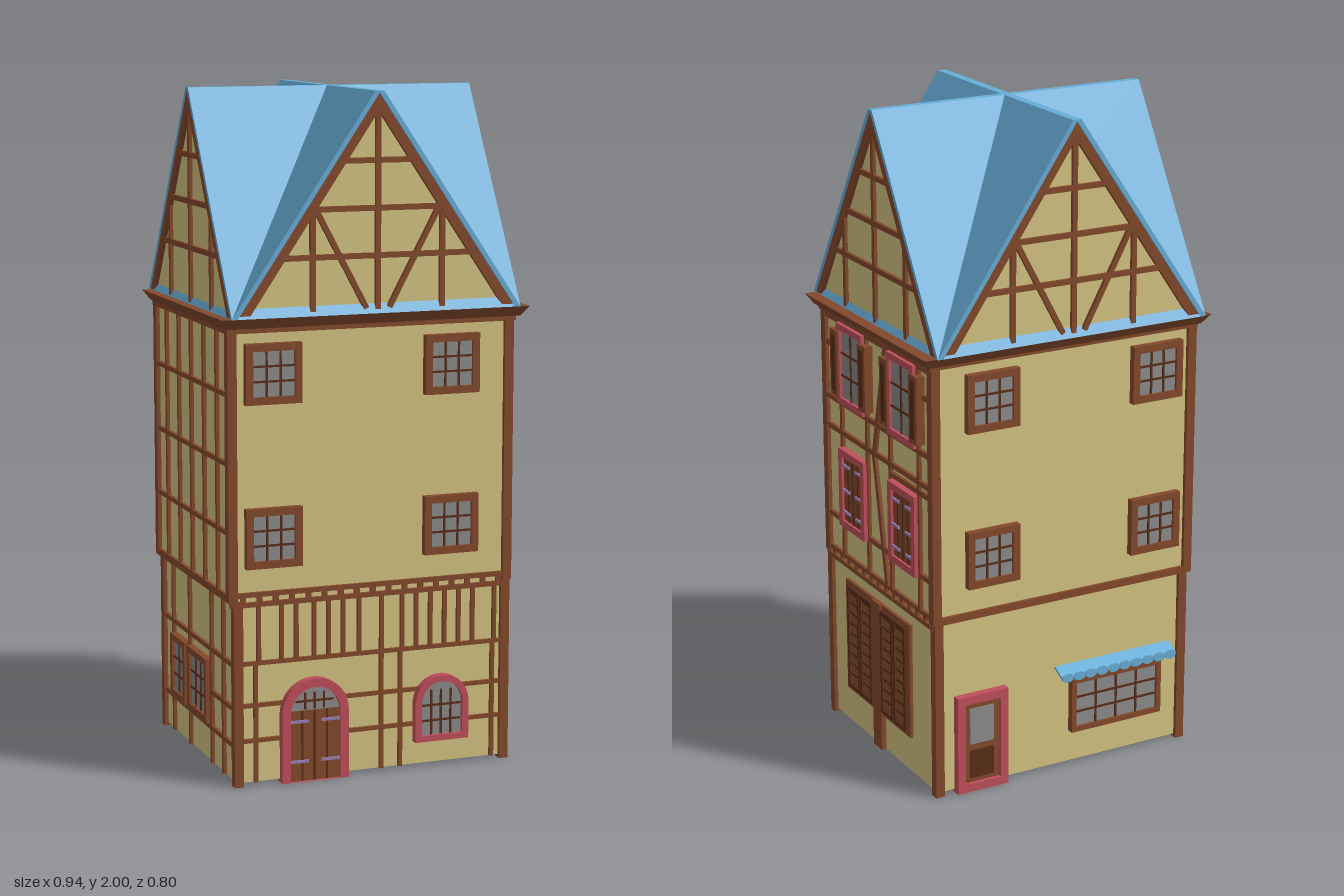
import * as THREE from 'three';

const mat = (color) => new THREE.MeshStandardMaterial({ color, flatShading: true, side: THREE.DoubleSide });
const M = {
  wall: mat(0xd4c482), wood: mat(0x84492b), dark: mat(0x5a2d18), pink: mat(0xc04f5c),
  metal: mat(0x9a7fb4), glass: mat(0x8c8c8c), roof: mat(0x68aed8),
};
const T = 0.016, EAVE = 1.37, PEAK = 2.02, RIDGE = 2.0;

function add(parent, name, geo, material) {
  const m = new THREE.Mesh(geo, material);
  m.name = name;
  parent.add(m);
  return m;
}

// Wall-local rectangle: u across, v up, w outward
function rect(f, name, m, u0, v0, u1, v1, w = 0.01, back = -0.004) {
  const mesh = add(f, name, new THREE.BoxGeometry(u1 - u0, v1 - v0, w - back), m);
  mesh.position.set((u0 + u1) / 2, (v0 + v1) / 2, (w + back) / 2);
  return mesh;
}

// Straight timber between two points of a wall
function bar(f, u0, v0, u1, v1, t = T, name = 'timber') {
  const mesh = add(f, name, new THREE.BoxGeometry(Math.hypot(u1 - u0, v1 - v0), t, 0.014), M.wood);
  mesh.position.set((u0 + u1) / 2, (v0 + v1) / 2, 0.003);
  mesh.rotation.z = Math.atan2(v1 - v0, u1 - u0);
  return mesh;
}
const posts = (f, us, v0, v1, t) => us.forEach((u) => bar(f, u, v0, u, v1, t, 'post'));
const rails = (f, vs, u0, u1, t) => vs.forEach((v) => bar(f, u0, v, u1, v, t, 'rail'));

function extrude(shape, depth, z0 = 0) {
  return new THREE.ExtrudeGeometry(shape, { depth, bevelEnabled: false, curveSegments: 12 }).translate(0, 0, z0);
}

function frame(f, name, m, u0, v0, u1, v1, t, w = 0.022) {
  rect(f, name, m, u0, v0, u0 + t, v1, w, -0.015);
  rect(f, name, m, u1 - t, v0, u1, v1, w, -0.015);
  rect(f, name, m, u0, v0, u1, v0 + t, w, -0.015);
  rect(f, name, m, u0, v1 - t, u1, v1, w, -0.015);
}

function mullions(f, u0, v0, u1, v1, cols, rows) {
  for (let i = 1; i < cols; i++) {
    const u = u0 + (u1 - u0) * i / cols;
    rect(f, 'mullion', M.dark, u - 0.003, v0, u + 0.003, v1, 0.017);
  }
  for (let i = 1; i < rows; i++) {
    const v = v0 + (v1 - v0) * i / rows;
    rect(f, 'mullion', M.dark, u0, v - 0.003, u1, v + 0.003, 0.017);
  }
}

function windowUnit(f, u0, v0, u1, v1, m, t, cols = 3, rows = 3) {
  rect(f, 'windowGlass', M.glass, u0 + t, v0 + t, u1 - t, v1 - t, 0.013, -0.015);
  frame(f, 'windowFrame', m, u0, v0, u1, v1, t);
  mullions(f, u0 + t, v0 + t, u1 - t, v1 - t, cols, rows);
}

// Two closed leaves with metal hinges
function leaves(f, u0, v0, u1, v1, hinges) {
  const c = (u0 + u1) / 2;
  rect(f, 'leaf', M.wood, u0, v0, u1, v1, 0.014, -0.015);
  for (const u of [u0 + (c - u0) / 2, c, c + (u1 - c) / 2]) rect(f, 'plankGap', M.dark, u - 0.003, v0, u + 0.003, v1, 0.016);
  for (const v of hinges) for (const [a, b] of [[u0, c - 0.02], [c + 0.02, u1]])
    rect(f, 'hinge', M.metal, a, v - 0.004, b, v + 0.004, 0.02);
}

function archShape(c, r, v0, spring) {
  const s = new THREE.Shape();
  s.moveTo(c - r, v0).lineTo(c + r, v0).lineTo(c + r, spring);
  s.absarc(c, spring, r, 0, Math.PI, false);
  s.closePath();
  return s;
}
function archFrame(f, c, r, v0, spring, t, sill) {
  const s = archShape(c, r, v0, spring);
  s.holes.push(archShape(c, r - t, v0 + sill, spring));
  add(f, 'archFrame', extrude(s, 0.04, -0.015), M.pink);
  add(f, 'archGlass', extrude(archShape(c, r - t, v0 + sill, spring), 0.028, -0.015), M.glass);
}

// Chevron band (or solid triangle when bottom is null) below the roof line
function gableShape(hw, top, bottom) {
  const k = hw / (PEAK - EAVE), x = (off, y) => (PEAK - off - y) * k;
  const yTop = Math.min(RIDGE, PEAK - top), r = x(top, yTop), e = x(top, EAVE);
  const s = new THREE.Shape();
  s.moveTo(-e, EAVE).lineTo(-r, yTop).lineTo(r, yTop).lineTo(e, EAVE);
  if (bottom !== null) s.lineTo(x(bottom, EAVE), EAVE).lineTo(0, PEAK - bottom).lineTo(-x(bottom, EAVE), EAVE);
  s.closePath();
  return s;
}

function gable(f, hw, c, side, braced) {
  const g = new THREE.Group();
  g.name = 'gable';
  g.position.x = c;
  f.add(g);
  add(g, 'gableWall', extrude(gableShape(hw, 0.04, null), 0.01, -0.01), M.wall);
  add(g, 'rafters', extrude(gableShape(hw, 0.025, 0.075), 0.016, -0.004), M.wood);
  bar(g, 0, EAVE, 0, 1.96);
  for (const v of [1.535, 1.67, 1.805]) {
    const h = hw * (PEAK - 0.05 - v) / (PEAK - EAVE);
    bar(g, -h, v, h, v);
  }
  for (const s of [-1, 1]) {
    bar(g, s * side, EAVE, s * side, 1.67);
    if (braced) bar(g, s * (side - 0.01), 1.67, s * 0.035, 1.385);
  }
}

export function createModel() {
  const root = new THREE.Group();
  root.name = 'timberHouse';
  const face = (name, x, z, ry) => {
    const g = new THREE.Group();
    g.name = name;
    g.position.set(x, 0, z);
    g.rotation.y = ry;
    root.add(g);
    return g;
  };
  const Q = Math.PI / 2;
  const front = face('frontWall', 0, 0.35, 0), back = face('backWall', 0, -0.34, Math.PI);
  const rightLow = face('lowerSideWall', 0.415, 0, Q), rightUp = face('upperSideWall', 0.42, 0, Q);
  const leftLow = face('lowerFarWall', -0.425, 0, -Q), leftUp = face('upperFarWall', -0.44, 0, -Q);

  // Hollow storeys
  const storey = (name, x0, x1, y0, y1) => {
    const ring = (d) => [[x0 + d, -0.35 + d], [x1 - d, -0.35 + d], [x1 - d, 0.34 - d], [x0 + d, 0.34 - d]].map((p) => new THREE.Vector2(...p));
    const s = new THREE.Shape(ring(0));
    s.holes.push(new THREE.Path(ring(0.012)));
    add(root, name, extrude(s, y1 - y0).rotateX(-Q).translate(0, y0, 0), M.wall);
  };
  storey('groundStorey', -0.425, 0.415, 0.01, 0.56);
  storey('upperStorey', -0.44, 0.42, 0.55, 1.35);

  // Corner posts
  for (const z of [-0.338, 0.348]) for (const [x, y0, y1] of [[-0.423, 0, 0.55], [0.413, 0, 0.55], [-0.438, 0.55, 1.34], [0.418, 0.55, 1.34]])
    add(root, 'cornerPost', new THREE.BoxGeometry(0.028, y1 - y0, 0.028), M.wood).position.set(x, (y0 + y1) / 2, z);

  // Small windows of the two upper floors, front and back
  for (const [f, s] of [[front, 1], [back, -1]]) for (const x of [-0.315, 0.235])
    for (const v of [0.645, 1.12]) windowUnit(f, s * x - 0.085, v, s * x + 0.085, v + 0.175, M.wood, 0.022);

  // Belts with dentils
  const belt = (f, u0, u1) => {
    rails(f, [0.539, 0.568], u0, u1, 0.014);
    for (let u = u0 + 0.03; u < u1; u += 0.05) rect(f, 'dentil', M.wood, u, 0.54, u + 0.016, 0.568, 0.008);
  };
  belt(front, -0.445, 0.425);
  belt(rightUp, -0.35, 0.34);
  rails(back, [0.558], -0.425, 0.445, 0.022);
  rails(leftUp, [0.558], -0.35, 0.36, 0.022);

  // Front ground floor
  rails(front, [0.365], -0.425, 0.415, 0.012);
  rails(front, [0.135, 0.24], -0.425, 0.415, 0.012);
  posts(front, [-0.36, -0.29, -0.245, -0.19, -0.145, -0.1, -0.05, 0.02, 0.085, 0.13, 0.175, 0.22, 0.265, 0.31, 0.38], 0.365, 0.54, 0.012);
  posts(front, [-0.37, 0.02, 0.08, 0.375], 0.01, 0.365, 0.012);
  archFrame(front, -0.192, 0.103, 0, 0.205, 0.026, 0);
  mullions(front, -0.25, 0.215, -0.134, 0.265, 4, 2);
  leaves(front, -0.269, 0, -0.115, 0.212, [0.06, 0.18]);
  archFrame(front, 0.207, 0.085, 0.08, 0.195, 0.02, 0.018);
  mullions(front, 0.145, 0.095, 0.269, 0.235, 4, 3);

  // Shuttered side: upper timbers (u = -z)
  rails(rightUp, [1.06, 0.965, 0.68, 1.315], -0.35, 0.34);
  rails(rightUp, [1.23], -0.35, -0.24);
  rails(rightUp, [1.23], 0.26, 0.34);
  rails(rightUp, [0.935], 0.08, 0.34);
  posts(rightUp, [-0.24, -0.07, 0.08, 0.26], 0.57, 1.32, 0.014);
  bar(rightUp, 0.055, 1.31, -0.025, 0.96, 0.018, 'brace');
  bar(rightUp, -0.025, 0.96, 0.05, 0.575, 0.018, 'brace');
  for (const c of [-0.155, 0.172]) {
    windowUnit(rightUp, c - 0.083, 1.065, c + 0.083, 1.315, M.pink, 0.02, 2, 3);
    for (const s of [-1, 1]) {
      const u = c + s * 0.092;
      rect(rightUp, 'openShutter', M.wood, u - 0.024, 1.085, u + 0.024, 1.29, 0.027);
      rect(rightUp, 'shutterPanel', M.dark, u - 0.012, 1.1, u + 0.012, 1.275, 0.029);
    }
    frame(rightUp, 'shutterFrame', M.pink, c - 0.085, 0.67, c + 0.085, 0.92, 0.022);
    leaves(rightUp, c - 0.063, 0.692, c + 0.063, 0.898, [0.72, 0.79, 0.87]);
  }

  // Shuttered side: large louvred pair at ground level
  rect(rightLow, 'louvreSurround', M.wood, -0.24, 0.125, 0.185, 0.49, 0.01, -0.015);
  rect(rightLow, 'middlePost', M.wood, -0.052, 0.01, 0.002, 0.49, 0.016);
  for (const u0 of [-0.218, 0.006]) {
    rect(rightLow, 'louvreBack', M.dark, u0, 0.14, u0 + 0.16, 0.475, 0.012);
    for (const d of [0, 0.083]) {
      frame(rightLow, 'louvreFrame', M.dark, u0 + d, 0.14, u0 + d + 0.077, 0.475, 0.01, 0.018);
      for (let i = 0; i < 9; i++) {
        const slat = rect(rightLow, 'slat', M.wood, u0 + d + 0.01, 0.158 + i * 0.034, u0 + d + 0.067, 0.178 + i * 0.034, 0.016, 0.01);
        slat.rotation.x = -0.3;
      }
    }
  }

  // Back door
  frame(back, 'backDoorFrame', M.pink, -0.36, 0, -0.19, 0.31, 0.026, 0.024);
  rect(back, 'backDoor', M.wood, -0.334, 0, -0.216, 0.284, 0.013, -0.015);
  rect(back, 'backDoorGlass', M.glass, -0.315, 0.15, -0.235, 0.265, 0.016);
  rect(back, 'backDoorPanel', M.dark, -0.315, 0.04, -0.235, 0.13, 0.016);

  // Shop window and scalloped awning
  windowUnit(back, 0.03, 0.11, 0.345, 0.285, M.wood, 0.016, 4, 3);
  const awning = rect(back, 'awning', M.roof, -0.02, 0.315, 0.38, 0.322, 0.05, 0);
  awning.rotation.x = 0.45;
  for (let i = 0; i < 10; i++) {
    const s = add(back, 'awningScallop', new THREE.CylinderGeometry(0.02, 0.02, 0.005, 12).rotateX(Q), M.roof);
    s.position.set(i * 0.04, 0.307, 0.047);
    s.scale.y = 0.7;
  }

  // Plain timbered side (u = z)
  posts(leftUp, [-0.235, -0.115, 0.005, 0.125, 0.245], 0.57, 1.34, 0.014);
  rails(leftUp, [0.75, 0.95, 1.15], -0.35, 0.36, 0.014);
  posts(leftLow, [-0.24, -0.075, 0.135, 0.245], 0.01, 0.55, 0.014);
  rails(leftLow, [0.12, 0.36], -0.35, 0.36, 0.014);
  rails(leftLow, [0.23], 0.135, 0.36, 0.014);
  windowUnit(leftLow, -0.23, 0.13, -0.085, 0.325, M.wood, 0.02, 2, 3);
  windowUnit(leftLow, -0.06, 0.13, 0.125, 0.325, M.wood, 0.02, 3, 3);

  // Flared eaves moulding
  const cornice = new THREE.BoxGeometry(0.945, 0.03, 0.78);
  const p = cornice.attributes.position;
  for (let i = 0; i < p.count; i++) if (p.getY(i) < 0) p.setXYZ(i, p.getX(i) * 0.955, p.getY(i), p.getZ(i) * 0.95);
  add(root, 'eavesMoulding', cornice, M.wood).position.set(-0.003, 1.354, 0);
  add(root, 'eavesBoard', new THREE.BoxGeometry(0.89, 0.02, 0.72), M.wood).position.set(-0.008, 1.335, 0.004);

  // Crossed gable roof
  add(root, 'roofFrontToBack', extrude(gableShape(0.4425, 0, 0.025), 0.8, -0.4), M.roof).position.x = -0.0075;
  add(root, 'roofSideToSide', extrude(gableShape(0.4, 0, 0.025), 0.885, -0.4425).rotateY(Q), M.roof).position.x = -0.0075;
  gable(face('frontGable', 0, 0.383, 0), 0.4425, -0.0075, 0.198, true);
  gable(face('backGable', 0, -0.383, Math.PI), 0.4425, 0.0075, 0.198, true);
  gable(face('sideGable', 0.422, 0, Q), 0.4, 0, 0.193, false);
  gable(face('farGable', -0.437, 0, -Q), 0.4, 0, 0.193, false);
  return root;
}
